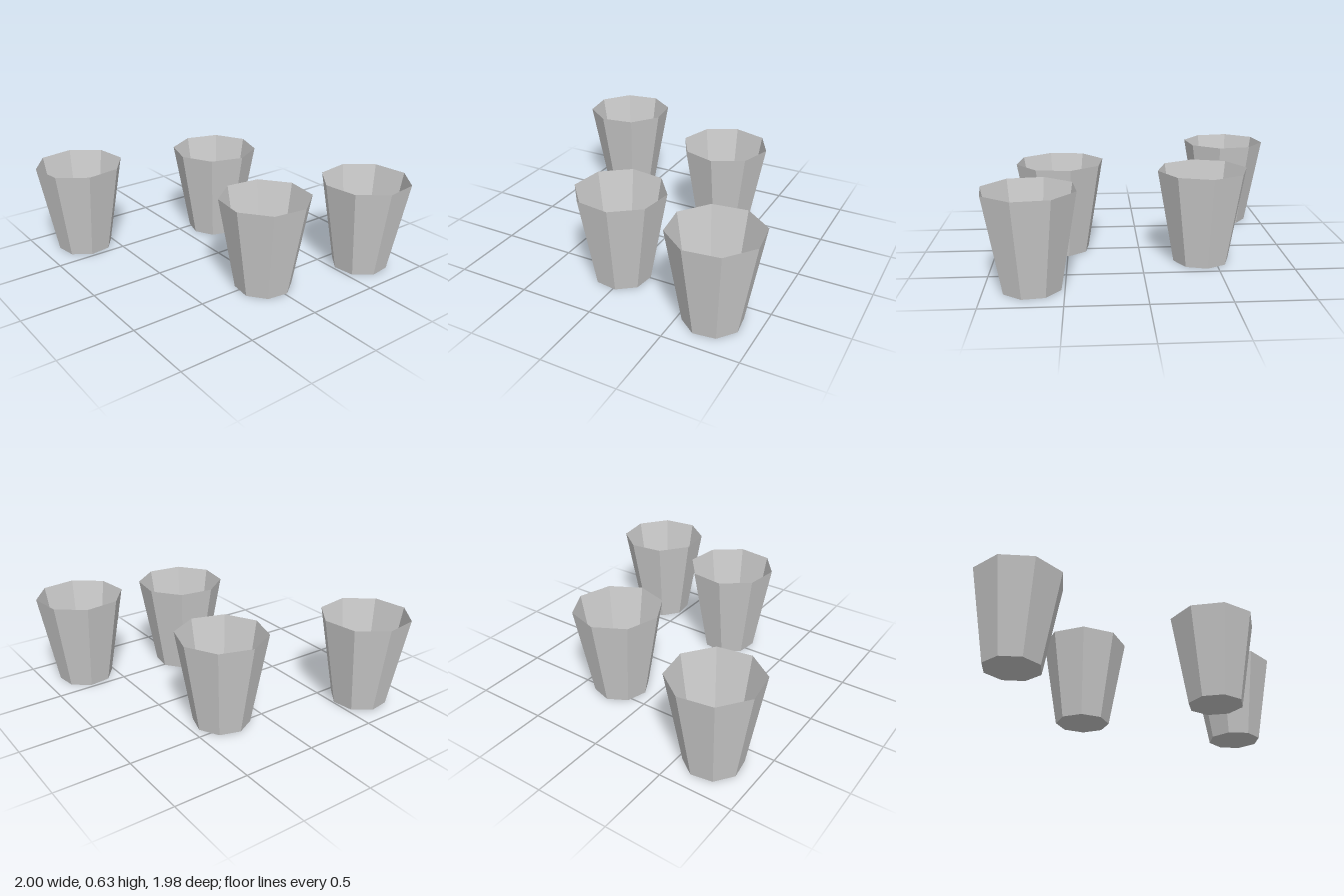
import * as THREE from 'three';

const HEIGHT = 0.63, TOP_RADIUS = 0.302, BASE_RADIUS = 0.19, SIDES = 8;

// x, z and turn in degrees of each cup
const CUPS = [
  ['backLeftCup', 0.706, -0.702, 15],
  ['backRightCup', -0.407, -0.263, 39.4],
  ['frontLeftCup', 0.54, 0.032, 30],
  ['frontRightCup', -0.708, 0.694, 13.5],
];

export function createModel() {
  const group = new THREE.Group();
  group.name = 'cups';

  const material = new THREE.MeshStandardMaterial({
    color: 0xcccccc, flatShading: true, side: THREE.DoubleSide,
  });

  // Open, thin-walled tapered cup: floor centre, floor edge, rim
  const profile = [
    new THREE.Vector2(0, 0),
    new THREE.Vector2(BASE_RADIUS, 0),
    new THREE.Vector2(TOP_RADIUS, HEIGHT),
  ];
  const geometry = new THREE.LatheGeometry(profile, SIDES);

  for (const [name, x, z, turn] of CUPS) {
    const cup = new THREE.Mesh(geometry, material);
    cup.name = name;
    cup.position.set(x, 0, z);
    cup.rotation.y = -THREE.MathUtils.degToRad(turn);
    group.add(cup);
  }
  return group;
}
